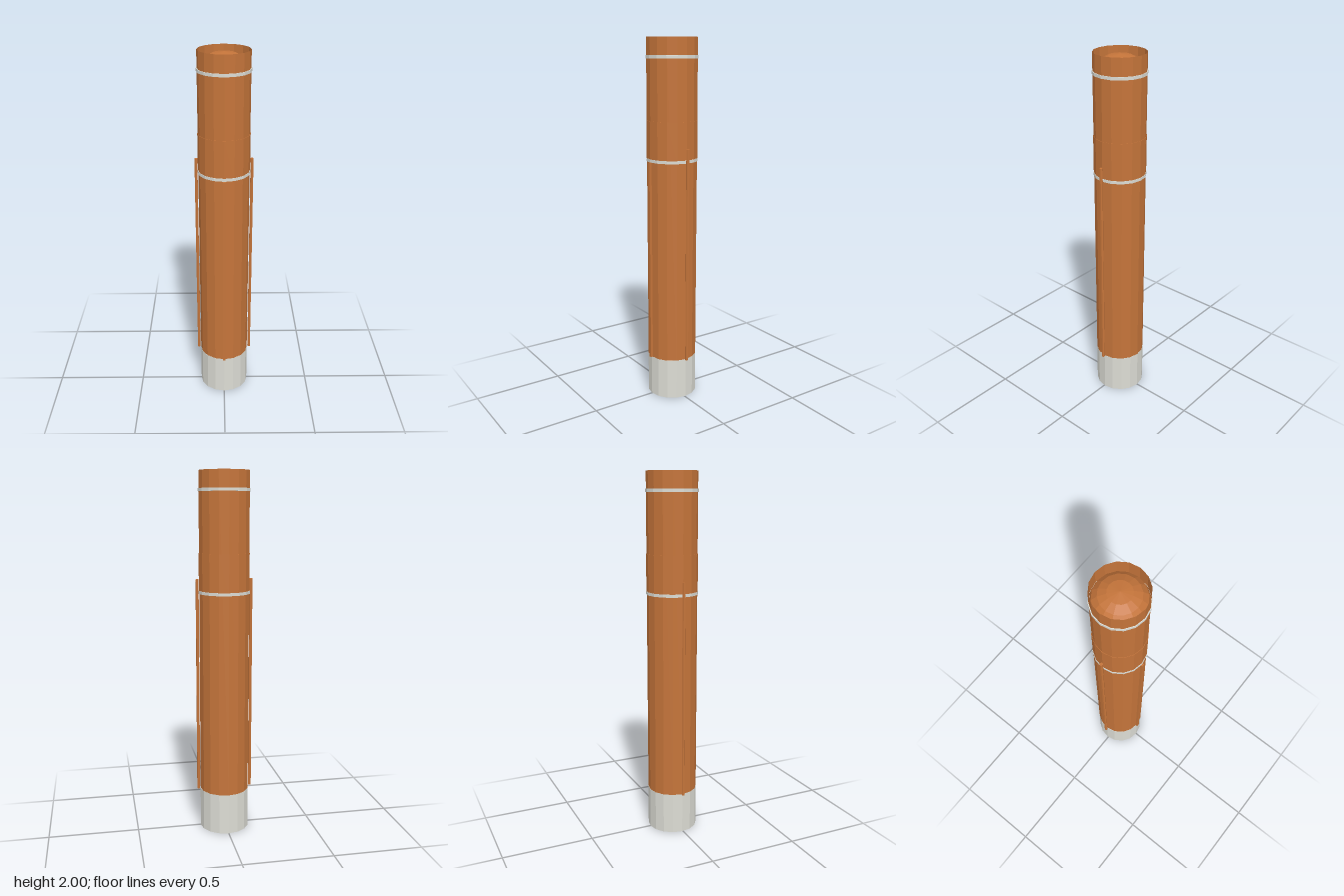
import * as THREE from 'three';

const SIDES = 16;
const R = 0.1375;

export function createModel() {
  const group = new THREE.Group();
  group.name = 'rocketStage';
  const core = new THREE.Group();
  core.name = 'core';
  core.position.z = -0.005;
  group.add(core);

  const material = (name, color, side = THREE.FrontSide) => {
    const m = new THREE.MeshStandardMaterial({ color, side, flatShading: true });
    m.name = name;
    return m;
  };
  const orange = material('orange foam', 0xc4743a, THREE.DoubleSide);
  const white = material('off white', 0xdcdcd4);
  const black = material('black', 0x15151b);

  const add = (name, geometry, mat, x = 0, y = 0, z = 0) => {
    const mesh = new THREE.Mesh(geometry, mat);
    mesh.name = name;
    mesh.position.set(x, y, z);
    core.add(mesh);
    return mesh;
  };
  // open tube or surface of revolution from [radius, height] pairs, bottom to top
  const turned = (pairs) =>
    new THREE.LatheGeometry(pairs.map(([r, y]) => new THREE.Vector2(r, y)), SIDES);
  // thin raised collar around the body
  const collar = (y0, y1, r) =>
    turned([[R - 0.001, y0], [r, y0], [r, y1], [R - 0.001, y1]]);

  // main body, open at the top
  add('tankBody', turned([[R, 0.23], [R, 2]]), orange);
  add('intertankBand', collar(1.36, 1.57, 0.1395), orange);

  // white engine skirt with its dark underside
  add('engineSkirt', turned([[0.138, 0], [0.138, 0.23], [R - 0.001, 0.23]]), white);
  add('skirtBase', new THREE.CircleGeometry(0.138, SIDES), black).rotation.x = Math.PI / 2;

  // domed bulkhead sunk below the top rim
  const dome = [R, 0.127, 0.1, 0.059, 0].map((r) =>
    [r, 1.9 + 0.09 * Math.sqrt(1 - (r / R) ** 2)]);
  add('topDome', turned(dome), orange);

  // white trim rings
  for (const y of [1.36, 1.9]) {
    add('trimRing', collar(y - 0.008, y + 0.008, 0.1415), white);
  }

  // feed lines along both sides
  for (const side of [-1, 1]) {
    add('feedLine', new THREE.CylinderGeometry(0.009, 0.009, 1.2, 6), orange,
      side * 0.149, 0.83, 0);
  }

  // cable duct down the front
  add('cableDuct', new THREE.BoxGeometry(0.015, 1.12, 0.018), orange, 0, 0.79, 0.14);

  return group;
}
